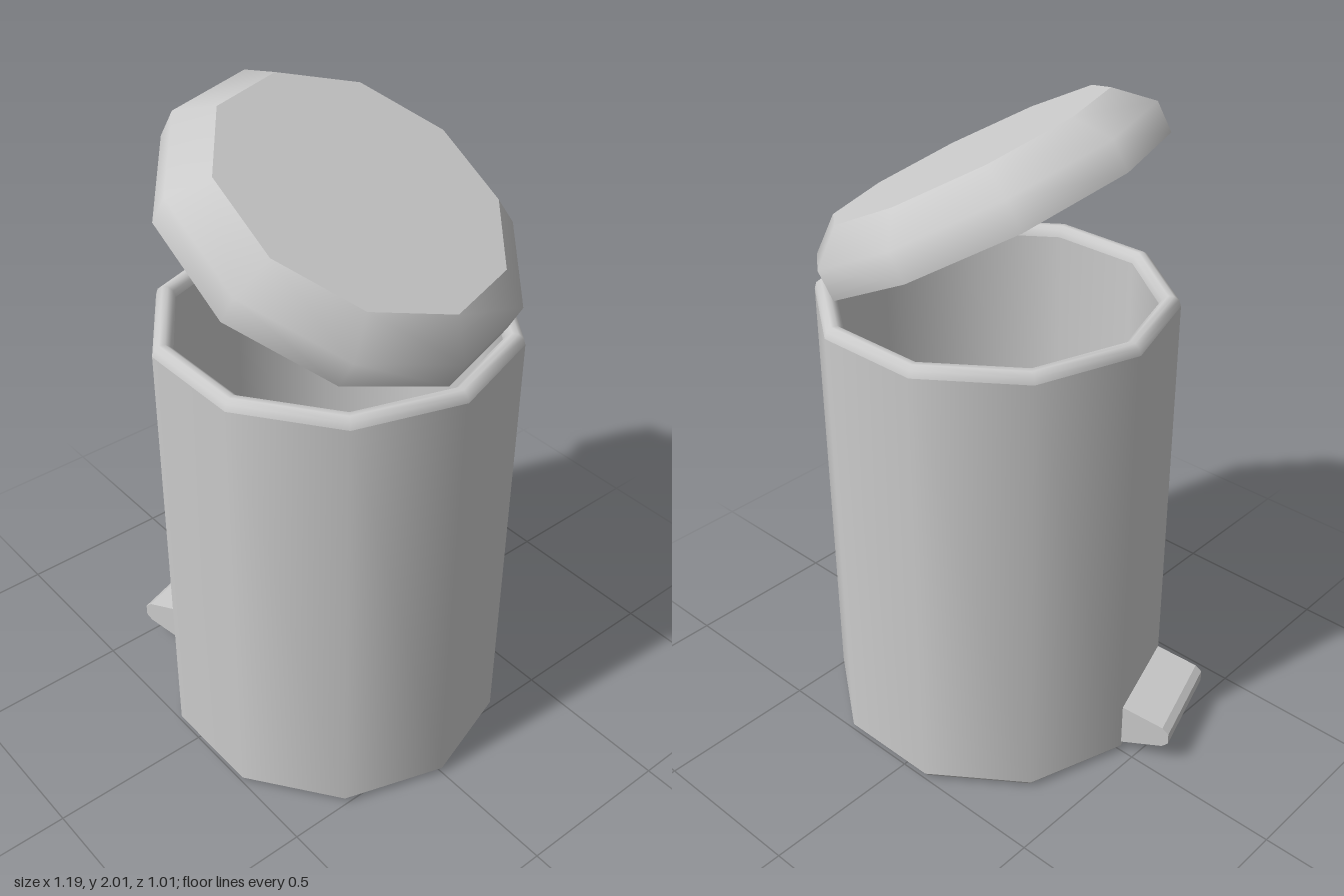
import * as THREE from 'three';

const SIDES = 10;
const STEP = Math.PI / SIDES; // half of one facet: 18 degrees

const material = new THREE.MeshStandardMaterial({ color: 0xcccccc });

function mesh(name, geometry) {
  const m = new THREE.Mesh(geometry, material);
  m.name = name;
  return m;
}

// Ten-sided turned surface with a flat facet facing +x
function turned(name, profile) {
  const points = profile.map(([r, y]) => new THREE.Vector2(r, y));
  return mesh(name, new THREE.LatheGeometry(points, SIDES, Math.PI / 2 + STEP));
}

function createBody() {
  const body = new THREE.Group();
  body.name = 'body';
  body.add(
    turned('base', [[0, 0], [0.508, 0]]),
    turned('baseChamfer', [[0.508, 0], [0.525, 0.02]]),
    turned('outerWall', [[0.525, 0.02], [0.525, 1.4]]),
    turned('rim', [[0.525, 1.4], [0.519, 1.419], [0.504, 1.43], [0.487, 1.43], [0.472, 1.419], [0.466, 1.4]]),
    turned('innerWall', [[0.466, 1.4], [0.466, 0.04]]),
    turned('floor', [[0.466, 0.04], [0, 0.04]])
  );
  return body;
}

function createLid() {
  const tilt = THREE.MathUtils.degToRad(28);
  const lid = new THREE.Group();
  lid.name = 'lid';
  lid.add(
    turned('lidUnderside', [[0, 0], [0.525, 0]]),
    turned('lidSide', [[0.525, 0], [0.525, 0.09], [0.427, 0.173]]),
    turned('lidTop', [[0.427, 0.173], [0, 0.173]])
  );
  // Swung open so the hinge edge rests on the rim
  lid.rotation.z = -tilt;
  lid.position.y = 1.43 + 0.5 * Math.sin(tilt);
  return lid;
}

function createPedal() {
  const width = 0.322;
  const profile = [
    [0.48, 0.035], [0.5, 0.035], [0.63, 0.068], [0.65, 0.085],
    [0.65, 0.122], [0.63, 0.14], [0.5, 0.175], [0.48, 0.175]
  ];
  const shape = new THREE.Shape(profile.map(([x, y]) => new THREE.Vector2(x, y)));
  const geometry = new THREE.ExtrudeGeometry(shape, { depth: width, bevelEnabled: false });
  geometry.translate(0, 0, -width / 2);
  const pedal = mesh('pedal', geometry);
  pedal.rotation.y = Math.PI; // opposite the hinge
  return pedal;
}

export function createModel() {
  const bin = new THREE.Group();
  bin.name = 'pedalBin';
  bin.add(createBody(), createLid(), createPedal());
  bin.rotation.y = STEP;
  bin.position.x = 0.07;

  const model = new THREE.Group();
  model.add(bin);
  return model;
}
